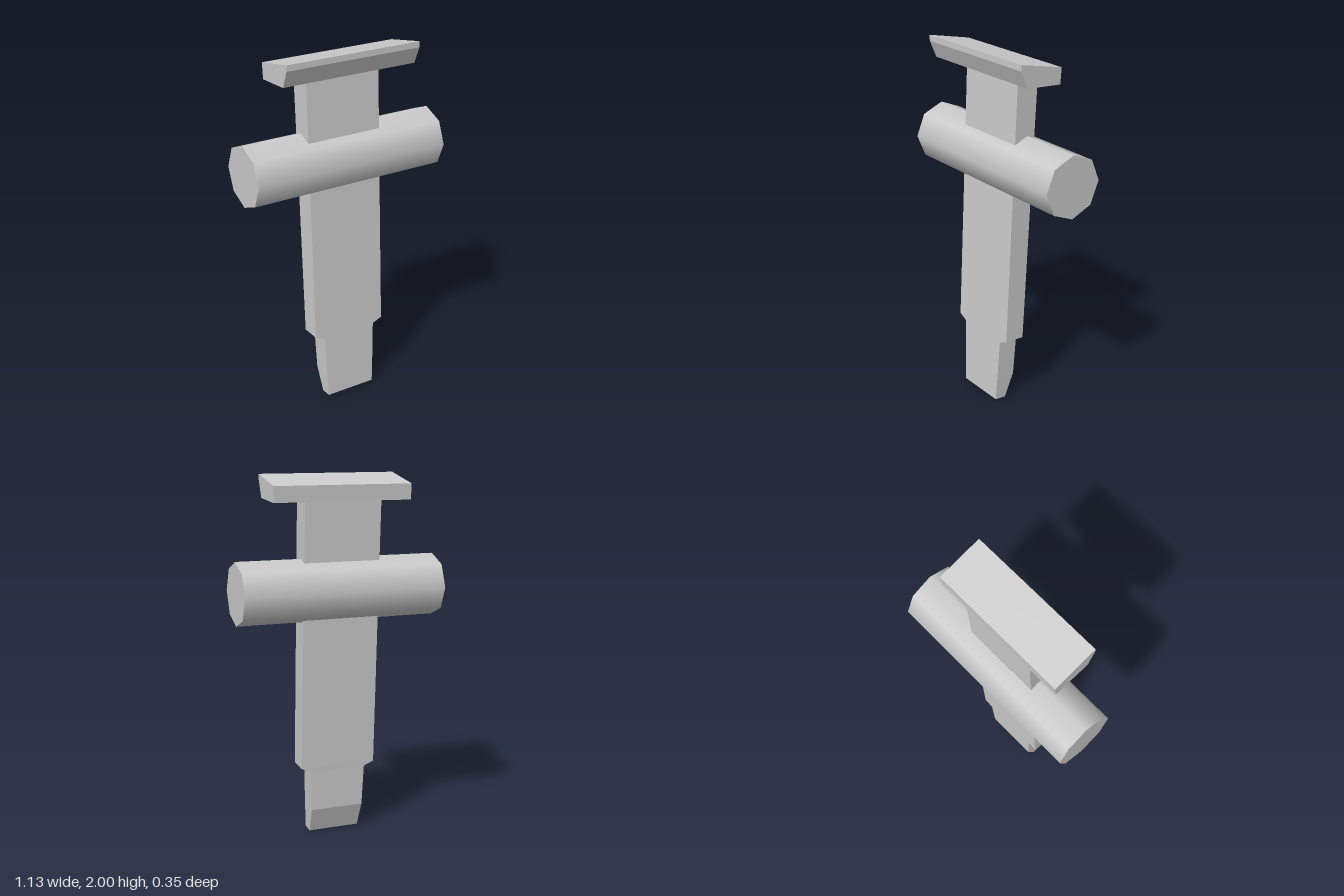
import * as THREE from 'three';

const grey = (flatShading) => new THREE.MeshStandardMaterial({ color: 0xcccccc, flatShading });
const CENTER_X = -0.013;

// Closed loft of four-cornered sections: [halfWidth, frontY, frontZ, backY, backZ], bottom to top
function loft(sections) {
  const pos = [];
  const idx = [];
  for (const [w, yf, zf, yb, zb] of sections) {
    pos.push(-w, yf, zf, w, yf, zf, w, yb, zb, -w, yb, zb);
  }
  for (let s = 0; s < sections.length - 1; s++) {
    for (let i = 0; i < 4; i++) {
      const a = s * 4 + i;
      const b = s * 4 + (i + 1) % 4;
      idx.push(a, b, b + 4, a, b + 4, a + 4);
    }
  }
  const t = (sections.length - 1) * 4;
  idx.push(0, 2, 1, 0, 3, 2, t, t + 1, t + 2, t, t + 2, t + 3);
  const indexed = new THREE.BufferGeometry();
  indexed.setAttribute('position', new THREE.Float32BufferAttribute(pos, 3));
  indexed.setIndex(idx);
  const geo = indexed.toNonIndexed();
  geo.computeVertexNormals();
  return geo;
}

export function createModel() {
  const group = new THREE.Group();

  const add = (name, geometry, flat, x, y = 0, z = 0) => {
    const mesh = new THREE.Mesh(geometry, grey(flat));
    mesh.name = name;
    mesh.position.set(x, y, z);
    group.add(mesh);
    return mesh;
  };

  // Leaning flat shaft with a stepped, bevelled tip
  add('shaft', loft([
    [0.145, 0.006, 0.15, 0, 0.085],
    [0.151, 0.146, 0.143, 0.14, 0.031],
    [0.159, 0.376, 0.131, 0.37, 0.018],
    [0.215, 0.4, 0.13, 0.394, 0.016],
    [0.215, 1.26, 0.088, 1.254, -0.033],
    [0.215, 1.875, 0.059, 1.868, -0.069],
  ]), true, CENTER_X);

  // Eight-sided crossbar through the shaft
  const bar = add('crossbar', new THREE.CylinderGeometry(0.17, 0.17, 1.13, 8), false, 0, 1.392, -0.003);
  bar.rotation.z = Math.PI / 2;

  // Wide wedge head, its side profile extruded along x
  const profile = new THREE.Shape([
    [-0.07, 1.862], [0.137, 1.876], [0.176, 1.968], [0.176, 2], [-0.077, 1.948],
  ].map(([z, y]) => new THREE.Vector2(-z, y)));
  const headGeo = new THREE.ExtrudeGeometry(profile, { depth: 0.774, bevelEnabled: false });
  headGeo.translate(0, 0, -0.387);
  headGeo.rotateY(Math.PI / 2);
  add('head', headGeo, true, CENTER_X);

  return group;
}
